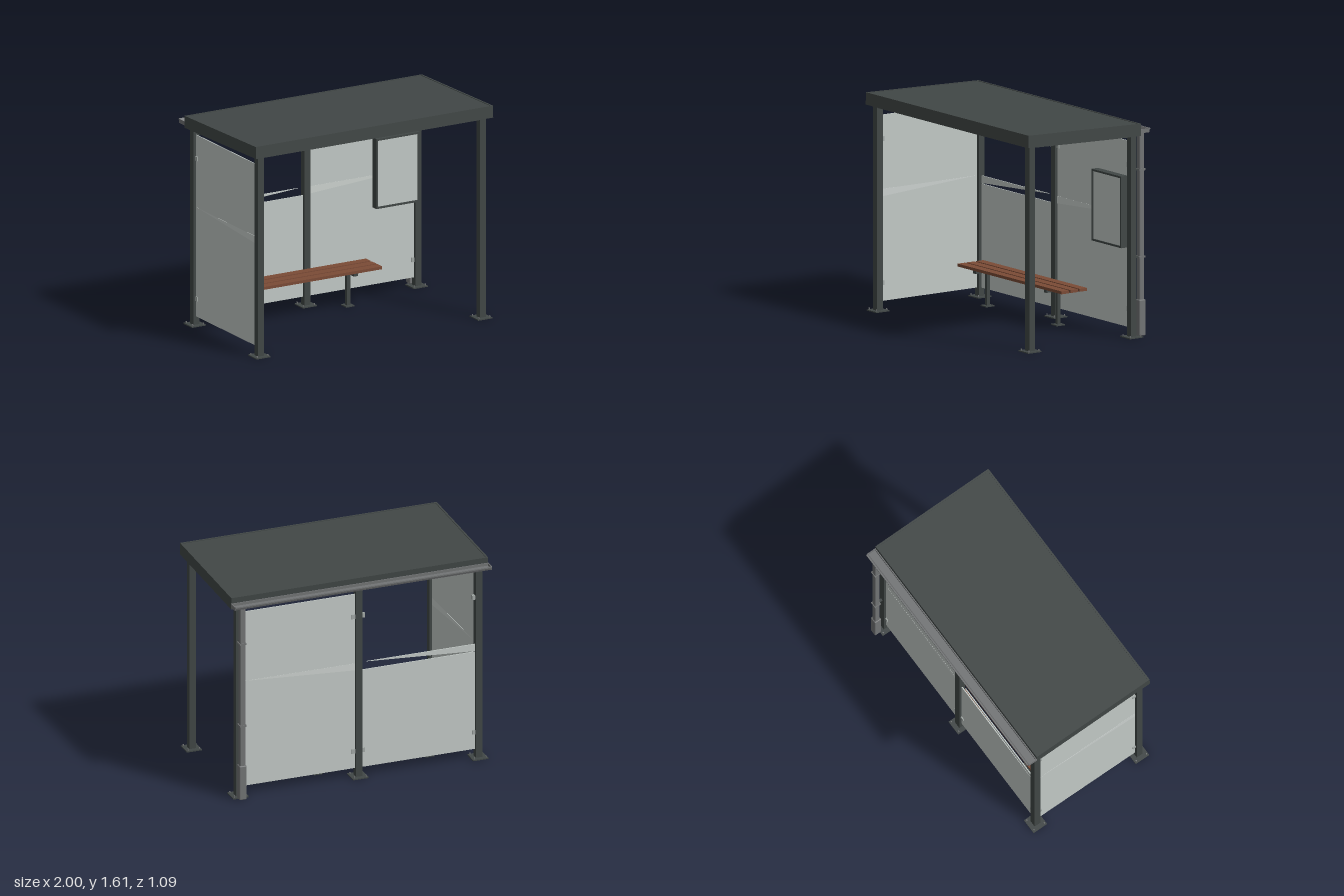
import * as THREE from 'three';
import { RoundedBoxGeometry } from 'three/addons/geometries/RoundedBoxGeometry.js';

const mat = (name, color, side = THREE.FrontSide) => {
  const m = new THREE.MeshStandardMaterial({ color, side });
  m.name = name;
  return m;
};

export function createModel() {
  const root = new THREE.Group();
  root.name = 'busShelter';
  const frame = mat('anthracite', 0x414746);
  const glass = mat('glass', 0xc3cac7, THREE.DoubleSide);
  const band = mat('frostedBand', 0xcdd3d0, THREE.DoubleSide);
  const metal = mat('galvanised', 0x727475);
  const clip = mat('clipGrey', 0xa3aaa7);
  const wood = mat('wood', 0x7b4b36);

  const add = (parent, name, geo, material, x, y, z) => {
    const m = new THREE.Mesh(geo, material);
    m.name = name;
    m.position.set(x, y, z);
    parent.add(m);
    return m;
  };
  // box given by its extents on each axis
  const box = (parent, name, material, [x0, x1], [y0, y1], [z0, z1]) =>
    add(parent, name, new THREE.BoxGeometry(x1 - x0, y1 - y0, z1 - z0), material,
      (x0 + x1) / 2, (y0 + y1) / 2, (z0 + z1) / 2);
  const around = (c, w) => [c - w / 2, c + w / 2];
  const group = (name) => {
    const g = new THREE.Group();
    g.name = name;
    root.add(g);
    return g;
  };

  // posts with base plates and anchor bolts
  const PX = 0.932, ZF = 0.483, ZB = -0.425;
  const boltGeo = new THREE.CylinderGeometry(0.005, 0.005, 0.018, 6);
  for (const [x, z] of [[-PX, ZF], [PX, ZF], [-PX, ZB], [0, ZB], [PX, ZB]]) {
    const g = group('post');
    box(g, 'postShaft', frame, around(x, 0.05), [0, 1.525 + (z - ZF) * 0.028], around(z, 0.05));
    box(g, 'basePlate', frame, around(x, 0.12), [0, 0.008], around(z, 0.12));
    for (const sx of [-1, 1]) for (const sz of [-1, 1])
      add(g, 'anchorBolt', boltGeo, metal, x + sx * 0.045, 0.012, z + sz * 0.045);
  }

  // sloping roof: fascia ring, recessed deck and beams below
  const roof = group('roof');
  roof.position.set(0, 1.5465, 0.0425);
  roof.rotation.x = -0.028;
  const RX = 0.997, RZ = 0.502, H = 0.045, T = 0.014;
  box(roof, 'frontFascia', frame, [-RX, RX], [-H, H], [RZ - T, RZ]);
  box(roof, 'backFascia', frame, [-RX, RX], [-H, H], [-RZ, -RZ + T]);
  for (const s of [-1, 1])
    box(roof, 'sideFascia', frame, around(s * (RX - T / 2), T), [-H, H], [-RZ + T, RZ - T]);
  box(roof, 'deck', frame, [-RX + T, RX - T], [0.02, H - 0.004], [-RZ + T, RZ - T]);
  const bf = ZF - 0.0425, bb = ZB - 0.0425;
  for (const z of [bf, bb])
    box(roof, 'crossBeam', frame, [-PX, PX], [-0.06, 0.02], around(z, 0.04));
  for (const x of [-PX, 0, PX])
    box(roof, 'sideBeam', frame, around(x, 0.04), [-0.058, 0.02], [bb, bf]);

  // open gutter along the back, extruded from a cross-section
  const g = group('drainage');
  const section = new THREE.Shape([
    [-0.460, 1.535], [-0.460, 1.506], [-0.526, 1.506], [-0.533, 1.523], [-0.545, 1.527],
    [-0.545, 1.536], [-0.535, 1.536], [-0.524, 1.515], [-0.467, 1.515], [-0.467, 1.535],
  ].map(([z, y]) => new THREE.Vector2(-z, y)));
  const gutterGeo = new THREE.ExtrudeGeometry(section, { depth: 1.99, bevelEnabled: false });
  gutterGeo.rotateY(Math.PI / 2);
  add(g, 'gutter', gutterGeo, metal, -0.995, 0, 0);
  for (const s of [-1, 1])
    box(g, 'gutterEnd', metal, around(s * 0.996, 0.005), [1.506, 1.535], [-0.535, -0.46]);

  // downpipe with sleeve and wall clips
  const pipe = (name, w, y0, y1) => add(g, name,
    new RoundedBoxGeometry(w, y1 - y0, w, 2, 0.008), metal, PX, (y0 + y1) / 2, -0.502);
  pipe('downpipe', 0.042, 0.2, 1.515);
  pipe('downpipeSleeve', 0.056, 0.005, 0.272);
  for (const y of [0.585, 1.228]) {
    box(g, 'pipeClip', metal, around(PX, 0.052), around(y, 0.014), [-0.528, -0.476]);
    box(g, 'pipeArm', frame, around(PX, 0.02), around(y, 0.01), [-0.48, -0.445]);
  }

  // glazing
  const panes = group('glazing');
  const GT = 0.008;
  box(panes, 'halfBackPane', glass, [-0.907, -0.025], [0.07, 0.835], around(ZB, GT));
  box(panes, 'fullBackPane', glass, [0.025, 0.907], [0.07, 1.44], around(ZB, GT));
  box(panes, 'sidePane', glass, around(-PX, GT), [0.07, 1.44], [-0.40, 0.458]);

  // tapering visibility bands
  const wedge = (width, depth) => new THREE.ExtrudeGeometry(
    new THREE.Shape([[0, 0], [width, 0.0], [0, -0.055]].map((p) => new THREE.Vector2(...p))),
    { depth, bevelEnabled: false });
  add(panes, 'openBayBand', wedge(0.84, 0.008), glass, -0.907, 0.895, ZB - 0.004);
  for (const s of [-1, 1]) {
    add(panes, 'backBand', wedge(0.86, 0.001), band, 0.026, 0.895, ZB + s * 0.005 - 0.0005);
    const side = add(panes, 'sideBand', wedge(0.84, 0.001), band, -PX + s * 0.005 - 0.0005, 0.895, 0.456);
    side.rotation.y = Math.PI / 2;
  }

  // glass clips at two heights
  for (const y of [0.205, 1.265]) {
    for (const x of [-0.898, -0.038, 0.038, 0.898])
      box(panes, 'backClip', clip, around(x, 0.028), around(y, 0.034), around(ZB, 0.024));
    for (const z of [0.447, -0.389])
      box(panes, 'sideClip', clip, around(-PX, 0.024), around(y, 0.034), around(z, 0.028));
  }

  // notice case: frame with a window and a light panel inside
  const caseGroup = group('noticeCase');
  const rect = (Cls, x0, x1, y0, y1) => new Cls(
    [[x0, y0], [x1, y0], [x1, y1], [x0, y1]].map((p) => new THREE.Vector2(...p)));
  const caseShape = rect(THREE.Shape, 0.548, 0.91, 0.66, 1.187);
  caseShape.holes.push(rect(THREE.Path, 0.562, 0.896, 0.674, 1.173));
  add(caseGroup, 'caseFrame', new THREE.ExtrudeGeometry(caseShape,
    { depth: 0.058, bevelEnabled: false }), frame, 0, 0, -0.404);
  box(caseGroup, 'casePanel', glass, [0.562, 0.896], [0.674, 1.173], [-0.40, -0.354]);

  // bench
  const bench = group('bench');
  for (const z of [-0.168, -0.248, -0.33])
    box(bench, 'slat', wood, [-0.803, 0.47], [0.275, 0.296], around(z, 0.066));
  for (const x of [-0.61, 0.255]) {
    box(bench, 'benchBracket', frame, around(x, 0.034), [0.252, 0.275], [-0.37, -0.145]);
    box(bench, 'benchLeg', frame, around(x, 0.027), [0, 0.255], around(-0.26, 0.027));
    box(bench, 'benchFoot', frame, around(x, 0.07), [0, 0.008], around(-0.26, 0.075));
  }
  return root;
}
